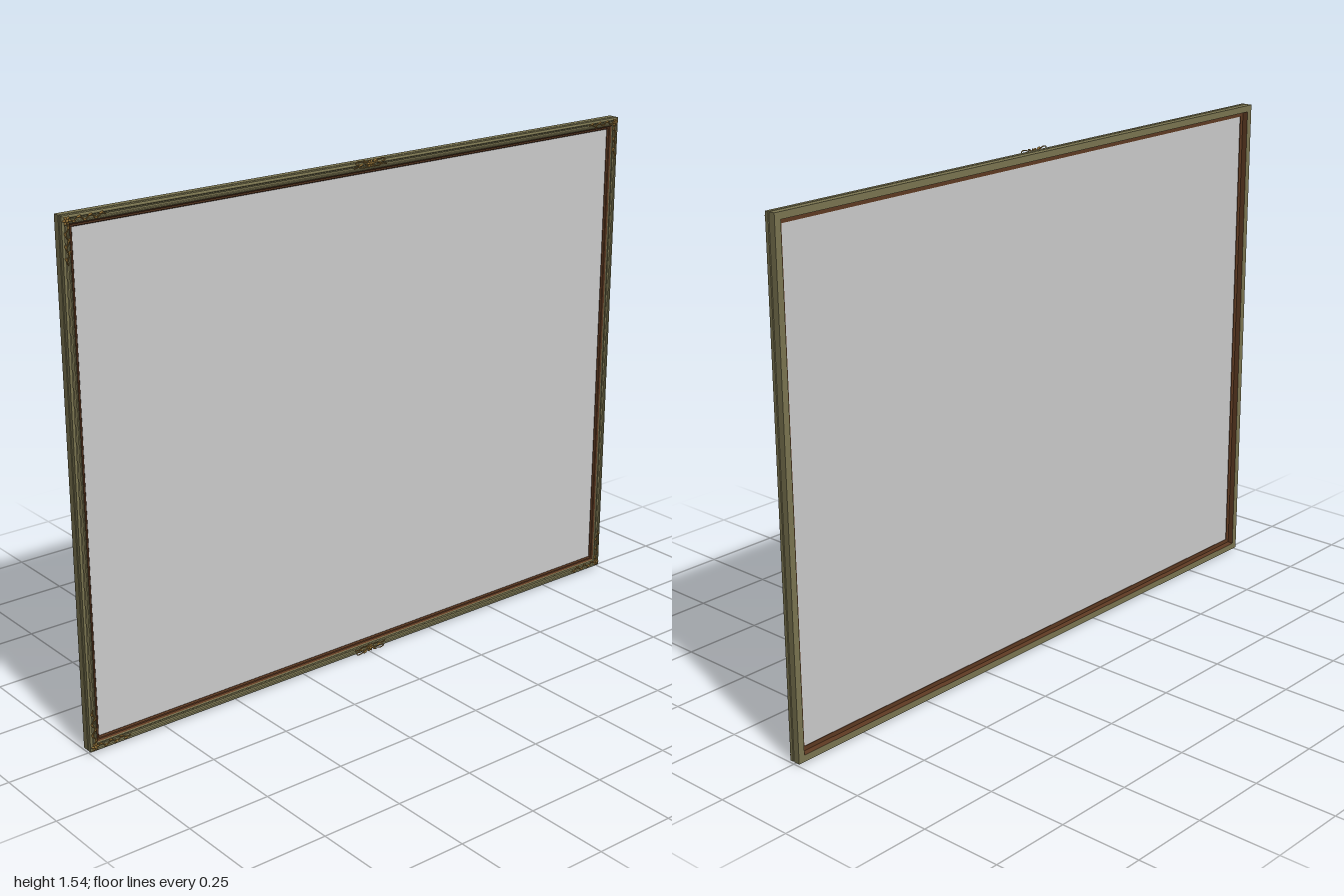
import * as THREE from 'three';

const BOTTOM = 0.008, TOP = 1.536;

const mat = (color, extra = {}) => new THREE.MeshStandardMaterial({ color, ...extra });

// Mitred moulding: sweeps a profile of [inset, z] points round the four corners
function moulding(profile) {
  const pos = [];
  const corner = (k, [d, z]) => {
    const right = k % 4 === 1 || k % 4 === 2, up = k % 4 >= 2;
    return [right ? 1 - d : d - 1, up ? TOP - d : BOTTOM + d, z];
  };
  for (let k = 0; k < 4; k++) {
    for (let i = 0; i + 1 < profile.length; i++) {
      const a = corner(k, profile[i]), b = corner(k + 1, profile[i]);
      const c = corner(k + 1, profile[i + 1]), d = corner(k, profile[i + 1]);
      pos.push(...a, ...b, ...c, ...a, ...c, ...d);
    }
  }
  const geo = new THREE.BufferGeometry();
  geo.setAttribute('position', new THREE.Float32BufferAttribute(pos, 3));
  geo.computeVertexNormals();
  return geo;
}

export function createModel() {
  const model = new THREE.Group();
  const olive = mat(0x7a7450), brown = mat(0x5e3a22), gold = mat(0x8c6c34);

  const add = (parent, name, geo, material) => {
    const mesh = new THREE.Mesh(geo, material);
    mesh.name = name;
    parent.add(mesh);
    return mesh;
  };

  // Frame: outer body with a grooved side and stepped front
  add(model, 'outerFrame', moulding([
    [0.02, -0.022], [0, -0.022], [0, -0.002], [0.002, 0], [0, 0.002], [0, 0.013],
    [0.003, 0.015], [0.007, 0.015], [0.009, 0.011], [0.013, 0.009], [0.017, 0.01],
    [0.019, 0.013], [0.022, 0.013], [0.024, 0.01],
  ]), olive);
  // Inner lip facing the panel, front and back
  add(model, 'innerLip', moulding([
    [0.024, 0.01], [0.028, 0.006], [0.032, 0.006], [0.035, 0.002],
    [0.035, -0.006], [0.022, -0.006], [0.02, -0.022],
  ]), brown);

  // Picture panel
  const panel = add(model, 'panel', new THREE.BoxGeometry(1.94, TOP - BOTTOM - 0.06, 0.004), mat(0xcccccc));
  panel.position.set(0, (TOP + BOTTOM) / 2, -0.002);

  // Ornament helpers
  const leafGeo = new THREE.SphereGeometry(1, 8, 6);
  const leaf = (parent, x, y, length, width, angle) => {
    const m = add(parent, 'leaf', leafGeo, gold);
    m.position.set(x, y, 0.015);
    m.scale.set(length, width, 0.004);
    m.rotation.z = angle;
  };
  const vine = (parent, pts, radius = 0.0018) => {
    const curve = new THREE.CatmullRomCurve3(pts.map(([x, y]) => new THREE.Vector3(x, y, 0.0155)));
    add(parent, 'scroll', new THREE.TubeGeometry(curve, pts.length * 4, radius, 6), gold);
  };
  const rosette = (parent, x, y, r) => {
    for (let i = 0; i < 6; i++) {
      const a = i * Math.PI / 3;
      leaf(parent, x + Math.cos(a) * r * 0.55, y + Math.sin(a) * r * 0.55, r * 0.45, r * 0.25, a);
    }
    const bud = add(parent, 'bud', leafGeo, gold);
    bud.position.set(x, y, 0.017);
    bud.scale.set(r * 0.35, r * 0.35, 0.005);
  };

  // Corner ornaments: wavy leafy scrolls along both arms
  for (const sx of [-1, 1]) for (const top of [false, true]) {
    const g = new THREE.Group();
    g.name = 'cornerOrnament';
    const px = d => sx * (1 - d), py = d => top ? TOP - d : BOTTOM + d;
    rosette(g, px(0.014), py(0.014), 0.013);
    for (const upright of [false, true]) {
      const at = (t, d) => upright ? [px(d), py(t)] : [px(t), py(d)];
      const pts = [];
      for (let i = 0; i <= 12; i++) {
        pts.push(at(0.024 + i * 0.0088, 0.013 + 0.006 * Math.sin(i * Math.PI / 2) * (1 - i / 24)));
      }
      vine(g, pts);
      for (let i = 0; i < 6; i++) {
        const [x, y] = at(0.033 + i * 0.0165, i % 2 ? 0.008 : 0.018);
        leaf(g, x, y, 0.007, 0.003, (upright ? Math.PI / 2 : 0) + (i % 2 ? 0.4 : -0.4));
      }
    }
    model.add(g);
  }

  // Centre ornaments: crest above the top rail, smaller one on the bottom rail
  for (const top of [true, false]) {
    const g = new THREE.Group();
    g.name = top ? 'topCrest' : 'bottomOrnament';
    const edge = top ? TOP : BOTTOM, s = top ? 1 : -1;
    rosette(g, 0, edge - s * 0.006, 0.013);
    for (const sx of [-1, 1]) {
      const at = (x, y) => [sx * x, edge + s * y];
      vine(g, [at(0.008, -0.012), at(0.02, -0.003), at(0.032, 0.003), at(0.045, 0.005),
        at(0.053, 0.001), at(0.048, -0.005), at(0.041, -0.002)]);
      vine(g, [at(0.01, -0.014), at(0.03, -0.015), at(0.046, -0.011), at(0.06, -0.014)]);
      leaf(g, ...at(0.018, 0.002), 0.009, 0.003, sx * s * 0.5);
      leaf(g, ...at(0.034, -0.007), 0.009, 0.003, -sx * s * 0.4);
    }
    model.add(g);
  }
  return model;
}
